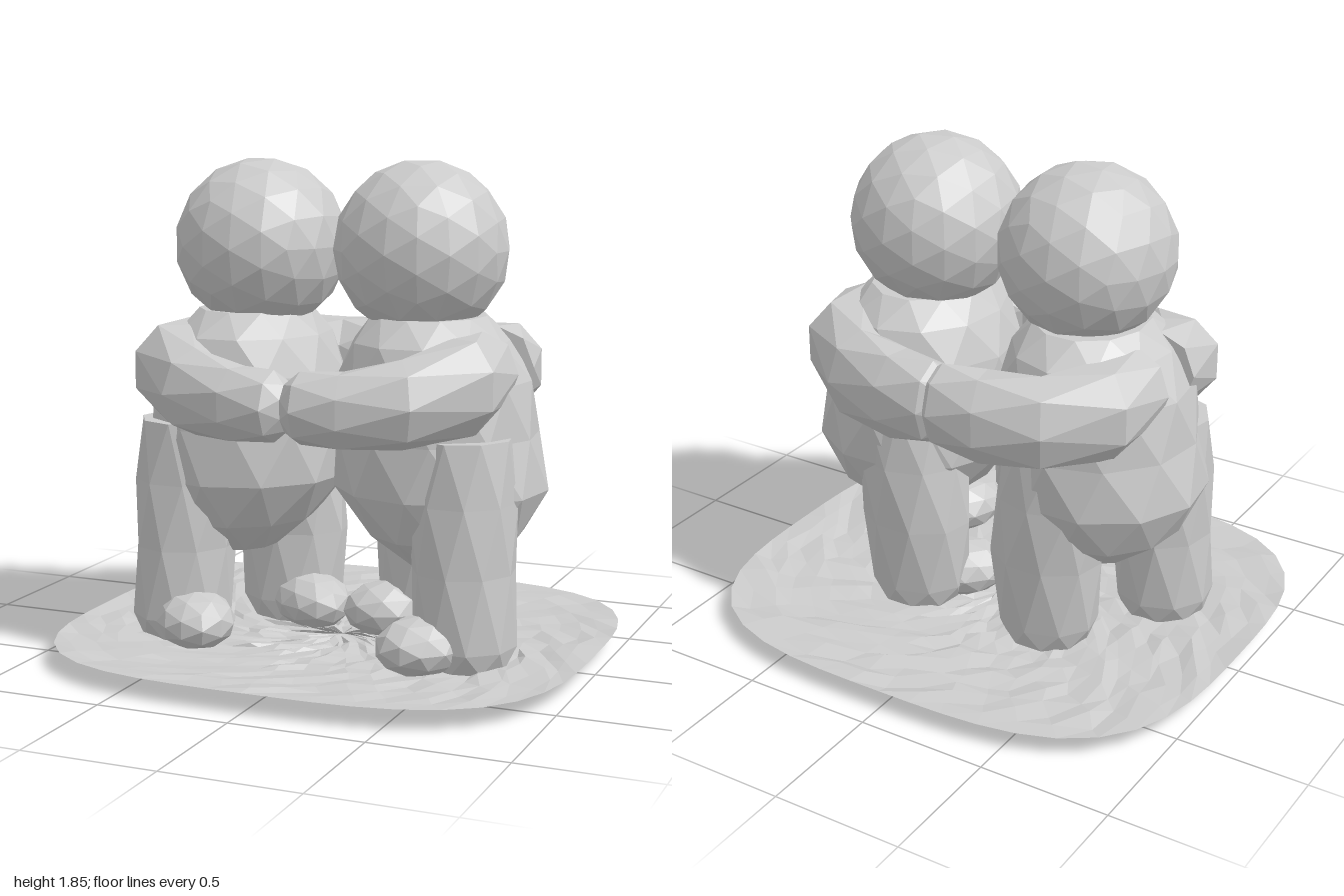
import * as THREE from 'three';

const material = new THREE.MeshStandardMaterial({ color: 0xcccccc, flatShading: true });
const UP = new THREE.Vector3(0, 1, 0);

// Closed loft through stations [x, y, z, radiusU, radiusV].
// Upright lofts use level rings (U along z, V along x); others use rings square to the path (V up).
function loft(stations, sides, upright) {
  const pts = stations.map(s => new THREE.Vector3(s[0], s[1], s[2]));
  const pos = [], index = [];
  stations.forEach((s, i) => {
    const t = pts[Math.min(i + 1, pts.length - 1)].clone().sub(pts[Math.max(i - 1, 0)]).setY(0).normalize();
    const u = upright ? new THREE.Vector3(0, 0, 1) : UP.clone().cross(t);
    const v = upright ? new THREE.Vector3(1, 0, 0) : UP;
    for (let j = 0; j < sides; j++) {
      const a = ((j + (i % 2) * 0.5) / sides) * Math.PI * 2;
      const p = pts[i].clone().addScaledVector(u, Math.cos(a) * s[3]).addScaledVector(v, Math.sin(a) * s[4]);
      pos.push(p.x, p.y, p.z);
    }
  });
  const n = stations.length;
  for (let i = 0; i < n - 1; i++) {
    for (let j = 0; j < sides; j++) {
      const k = (j + 1) % sides, a = i * sides, b = a + sides;
      if (i % 2) index.push(a + j, a + k, b + k, a + j, b + k, b + j);
      else index.push(a + j, a + k, b + j, a + k, b + k, b + j);
    }
  }
  // end caps
  const last = (n - 1) * sides;
  for (let j = 1; j < sides - 1; j++) {
    index.push(0, j + 1, j, last, last + j, last + j + 1);
  }
  const g = new THREE.BufferGeometry();
  g.setAttribute('position', new THREE.Float32BufferAttribute(pos, 3));
  g.setIndex(index);
  return g.toNonIndexed();
}

// Faceted ellipsoid
function blob(x, y, z, rx, ry, rz, turn, detail) {
  const g = new THREE.IcosahedronGeometry(1, detail);
  g.deleteAttribute('uv');
  g.scale(rx, ry, rz).rotateY(turn).translate(x, y, z);
  return g;
}

// Mirror across x and restore the outward winding
function mirror(g) {
  g.scale(-1, 1, 1);
  const p = g.attributes.position, a = new THREE.Vector3(), b = new THREE.Vector3();
  for (let i = 0; i < p.count; i += 3) {
    a.fromBufferAttribute(p, i + 1);
    b.fromBufferAttribute(p, i + 2);
    p.setXYZ(i + 1, b.x, b.y, b.z);
    p.setXYZ(i + 2, a.x, a.y, a.z);
  }
  return g;
}

function createFigure(name, mirrored) {
  const figure = new THREE.Group();
  figure.name = name;
  const add = (part, g) => {
    if (mirrored) mirror(g);
    g.computeVertexNormals();
    const mesh = new THREE.Mesh(g, material);
    mesh.name = part;
    figure.add(mesh);
  };

  add('head', blob(0.32, 1.53, 0.01, 0.325, 0.325, 0.33, 0.3, 2));

  add('torso', loft([
    [0.42, 0.37, 0, 0.16, 0.14],
    [0.42, 0.49, 0, 0.31, 0.29],
    [0.4, 0.66, 0, 0.39, 0.4],
    [0.38, 0.86, 0, 0.39, 0.38],
    [0.37, 1.06, 0, 0.38, 0.36],
    [0.36, 1.2, 0, 0.34, 0.29],
    [0.35, 1.29, 0, 0.24, 0.21],
  ], 11, true));

  // legs, with the hips turned a little toward the front
  add('frontLeg', loft([
    [0.57, 0.05, 0.21, 0.16, 0.16],
    [0.57, 0.13, 0.21, 0.19, 0.19],
    [0.56, 0.4, 0.2, 0.2, 0.19],
    [0.55, 0.65, 0.19, 0.2, 0.2],
    [0.54, 0.88, 0.18, 0.19, 0.19],
  ], 9, true));
  add('backLeg', loft([
    [0.29, 0.05, -0.2, 0.15, 0.16],
    [0.29, 0.13, -0.2, 0.17, 0.2],
    [0.29, 0.4, -0.21, 0.18, 0.22],
    [0.31, 0.65, -0.2, 0.19, 0.22],
    [0.33, 0.88, -0.19, 0.19, 0.21],
  ], 9, true));

  add('frontFoot', blob(0.45, 0.14, 0.34, 0.15, 0.11, 0.18, -0.6, 1));
  add('backFoot', blob(0.16, 0.14, -0.09, 0.14, 0.11, 0.18, -0.95, 1));

  // arms reaching round to the other figure
  add('frontArm', loft([
    [0.58, 1.1, 0.08, 0.14, 0.15],
    [0.57, 1.07, 0.25, 0.16, 0.18],
    [0.4, 1.02, 0.42, 0.14, 0.16],
    [0.2, 1.0, 0.49, 0.125, 0.14],
    [0.05, 1.0, 0.5, 0.12, 0.13],
    [0, 1.0, 0.5, 0.07, 0.09],
  ], 8, false));
  add('backArm', loft([
    [0.58, 1.1, -0.08, 0.14, 0.15],
    [0.55, 1.07, -0.26, 0.16, 0.18],
    [0.38, 1.04, -0.41, 0.14, 0.18],
    [0.18, 1.04, -0.47, 0.13, 0.175],
    [0.02, 1.05, -0.48, 0.12, 0.16],
    [-0.06, 1.06, -0.47, 0.07, 0.1],
  ], 8, false));
  return figure;
}

// Repeatable value in -0.5..0.5 for a point on the base
function noise(x, z) {
  const s = Math.sin(Math.round(x * 500) * 12.9898 + Math.round(z * 500) * 78.233) * 43758.5453;
  return s - Math.floor(s) - 0.5;
}

// One skin of the shallow rounded-square dish
function dishSkin(name, facing, centreY, rimY, rough) {
  const g = new THREE.RingGeometry(0, 1, 48, 14).rotateX(facing * -Math.PI / 2);
  g.deleteAttribute('uv');
  const p = g.attributes.position;
  for (let i = 0; i < p.count; i++) {
    const x = p.getX(i), z = p.getZ(i), r = Math.hypot(x, z);
    const c = r ? x / r : 0, s = r ? z / r : 0;
    const n = 3.3;
    const k = r ? Math.pow(Math.abs(c) ** n + Math.abs(s) ** n, -1 / n) : 0;
    const inner = r < 0.98 ? 1 : 0;
    const w = inner * noise(x, z), w2 = inner * noise(z + 3, x);
    const y = centreY + (rimY - centreY) * r * r + w * rough;
    p.setXYZ(i, c * k * r + w2 * 0.04, Math.max(0, y), 0.9 * (s * k * r) + w * 0.04);
  }
  g.computeVertexNormals();
  const mesh = new THREE.Mesh(g, material);
  mesh.name = name;
  return mesh;
}

export function createModel() {
  const model = new THREE.Group();
  model.name = 'embracingFigures';
  model.add(createFigure('leftFigure', false), createFigure('rightFigure', true));

  const base = new THREE.Group();
  base.name = 'base';
  base.add(dishSkin('baseTop', 1, 0.05, 0.075, 0.022), dishSkin('baseUnderside', -1, 0, 0.075, 0.006));
  model.add(base);
  return model;
}
